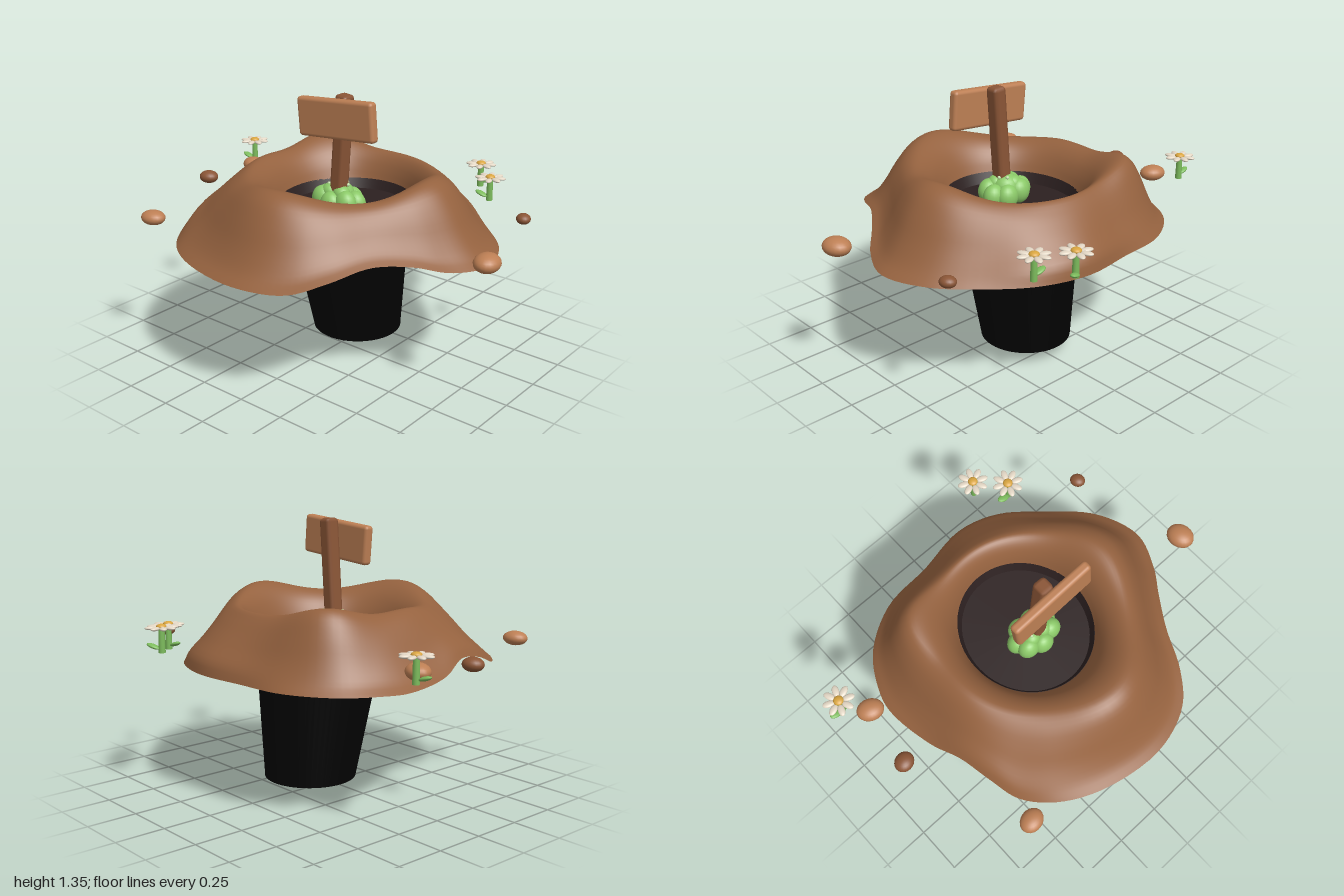
import * as THREE from 'three';
import { RoundedBoxGeometry } from 'three/addons/geometries/RoundedBoxGeometry.js';

const mat = (name, color, side = THREE.FrontSide) => {
  const m = new THREE.MeshStandardMaterial({ color, side });
  m.name = name;
  return m;
};

export function createModel() {
  const soil = mat('soil brown', 0x95623f, THREE.DoubleSide);
  const pitDark = mat('pit dark brown', 0x2c2020, THREE.DoubleSide);
  const black = mat('shaft black', 0x030303, THREE.DoubleSide);
  const lightWood = mat('light tan', 0xbd7f54);
  const darkWood = mat('dark wood', 0x8a5536);
  const leafGreen = mat('bush green', 0x8bc968);
  const stemGreen = mat('stem green', 0x7cbb5c);
  const petalWhite = mat('petal cream', 0xe2d6c4);
  const yellow = mat('flower yellow', 0xd9a540);
  const budPale = mat('bud pale green', 0xc0dca6);

  const model = new THREE.Group();
  model.name = 'burrowMound';
  const add = (name, geo, m, pos = [0, 0, 0], parent = model) => {
    const mesh = new THREE.Mesh(geo, m);
    mesh.name = name;
    mesh.position.set(...pos);
    parent.add(mesh);
    return mesh;
  };

  // Mound: a single skin swept round from the hole, over the crest, to a wavy foot
  const foot = new THREE.CatmullRomCurve3([
    [.825, .64, -.05], [.75, .655, .14], [.64, .70, .28], [.53, .72, .44], [.44, .685, .63],
    [.32, .645, .77], [.085, .64, .847], [-.235, .64, .805], [-.45, .64, .70], [-.58, .645, .56],
    [-.63, .70, .40], [-.665, .72, .24], [-.72, .665, .07], [-.755, .64, -.20], [-.715, .64, -.34],
    [-.61, .64, -.50], [-.395, .64, -.63], [-.13, .64, -.66], [.14, .645, -.69], [.38, .645, -.62],
    [.565, .64, -.475], [.75, .64, -.28],
  ].map((p) => new THREE.Vector3(...p)), true);
  // crest peaks: angle, extra radius, extra height, spread
  const peaks = [[1.48, .08, .065, .48], [-.1, .04, .065, .45], [-2.4, .1, .06, .34], [3.0, .0, .02, .4]];
  // across the wall: radial fraction, height fraction (then the same where the slope is fuller)
  const innerWall = [[0, 0], [.15, .36], [.38, .7], [.7, .94]];
  const outerWall = [
    [0, 1, 0, 1], [.2, .91, .2, .87], [.4, .68, .42, .69],
    [.6, .37, .66, .49], [.8, .13, .93, .24], [1, 0, 1, 0],
  ];
  const bell = (a, centre, w) => {
    const d = Math.atan2(Math.sin(a - centre), Math.cos(a - centre));
    return Math.exp(-((d / w) ** 2));
  };
  const between = (p, q, f, y) => new THREE.Vector3(p.x + (q.x - p.x) * f, y, p.z + (q.z - p.z) * f);
  const around = 120, across = 30, pos = [], idx = [];
  for (let i = 0; i < around; i++) {
    const b = foot.getPoint(i / around);
    const a = Math.atan2(b.z, b.x), c = Math.cos(a), s = Math.sin(a);
    let r = .465, h = .93;
    for (const [pa, dr, dh, w] of peaks) {
      r += dr * bell(a, pa, w);
      h += dh * bell(a, pa, w);
    }
    const full = bell(a, -1.35, .65) + .65 * bell(a, 2.6, .5);
    const hole = new THREE.Vector3(.005 + .325 * c, .79, -.028 + .355 * s);
    const crest = new THREE.Vector3(r * c, h, r * s);
    const profile = new THREE.CatmullRomCurve3([
      ...innerWall.map(([f, k]) => between(hole, crest, f, hole.y + (h - hole.y) * k)),
      ...outerWall.map(([f, k, fb, kb]) =>
        between(crest, b, f + (fb - f) * full, b.y + (h - b.y) * (k + (kb - k) * full))),
    ]);
    for (let j = 0; j <= across; j++) {
      const p = profile.getPoint(j / across);
      pos.push(p.x, p.y, p.z);
      if (j === across) continue;
      const p0 = i * (across + 1) + j, p1 = ((i + 1) % around) * (across + 1) + j;
      idx.push(p0, p1, p0 + 1, p0 + 1, p1, p1 + 1);
    }
  }
  const moundGeo = new THREE.BufferGeometry();
  moundGeo.setAttribute('position', new THREE.Float32BufferAttribute(pos, 3));
  moundGeo.setIndex(idx);
  moundGeo.computeVertexNormals();
  add('mound', moundGeo, soil);

  // Pit: wide floor and a dark collar rising to the soil
  add('pitFloor', new THREE.CylinderGeometry(.465, .465, .006, 64), pitDark, [0, .737, -.03]);
  add('pitCollar', new THREE.CylinderGeometry(1, .935, .056, 64, 1, true).scale(.326, 1, .356),
    pitDark, [.005, .766, -.03]);

  // Slanted, tapering shaft with a shallow pointed end
  const shaftGeo = new THREE.CylinderGeometry(1, 1, 1, 64, 1, true);
  const sp = shaftGeo.attributes.position;
  for (let i = 0; i < sp.count; i++) {
    const t = sp.getY(i) + .5;
    sp.setXYZ(i, sp.getX(i) * (.228 + .062 * t) + .003, .07 + .666 * t,
      sp.getZ(i) * (.23 + .11 * t) - .13 + .07 * t);
  }
  shaftGeo.computeVertexNormals();
  add('shaft', shaftGeo, black);
  add('shaftTip', new THREE.ConeGeometry(.229, .07, 64, 1, true).rotateX(Math.PI), black, [.003, .035, -.13]);

  // Signpost
  const post = add('signPost', new RoundedBoxGeometry(.074, .62, .076, 1, .02), darkWood, [.028, 1.04, .037]);
  post.rotation.z = -.075;
  const sign = add('signBoard', new RoundedBoxGeometry(.458, .194, .052, 2, .018), lightWood, [.05, 1.24, .096]);
  sign.rotation.z = .085;

  // Bush in the pit: a ring of rounded clumps round a taller middle
  const bush = new THREE.Group();
  bush.name = 'bush';
  bush.position.set(.005, .75, .025);
  model.add(bush);
  const ball = new THREE.SphereGeometry(1, 20, 14);
  const blob = (name, m, p, sx, sy, sz, parent) => {
    const b = add(name, ball, m, p, parent);
    b.scale.set(sx, sy, sz);
    return b;
  };
  blob('bushMiddle', leafGreen, [0, .08, -.01], .075, .07, .07, bush);
  for (let i = 0; i < 7; i++) {
    const a = i / 7 * Math.PI * 2 - .25, c = Math.cos(a), s = Math.sin(a);
    blob('bushClump', leafGreen, [.09 * c, .05 + .012 * (i % 2), .065 * s], .058, .064, .05, bush);
    if (i % 2) blob('bushUpperClump', leafGreen, [.045 * c, .1, .04 * s], .045, .042, .042, bush);
    if (i % 3 === 0) blob('bushBud', budPale, [.05 * c, .14, .045 * s], .009, .009, .009, bush);
  }

  // Stones: x, y, z, radii, turn, colour
  for (const [x, y, z, rx, ry, rz, turn, m] of [
    [-.83, .755, -.23, .068, .040, .056, -.4, lightWood],
    [-.875, .75, .075, .052, .034, .046, .3, darkWood],
    [-.62, .755, .69, .063, .036, .052, .2, lightWood],
    [.933, .755, .135, .062, .044, .073, .2, lightWood],
    [.772, .745, -.46, .036, .027, .040, .5, darkWood],
  ]) blob('stone', m, [x, y, z], rx, ry, rz, model).rotation.y = turn;

  // Daisies: x, z, petal height, turn
  for (const [x, z, top, turn] of [[-.92, -.335, .853, 0], [.325, -.778, .855, 3.6], [.457, -.657, .837, 0]]) {
    const f = new THREE.Group();
    f.name = 'daisy';
    f.position.set(x, top, z);
    f.rotation.y = turn;
    model.add(f);
    const len = .122;
    add('stem', new THREE.CylinderGeometry(.015, .017, len, 12), stemGreen, [0, -len / 2, 0], f);
    const leaf = blob('leaf', stemGreen, [-.042, -.092, .01], .036, .01, .02, f);
    leaf.rotation.z = -.3;
    for (let i = 0; i < 8; i++) {
      const a = (i + .5) / 8 * Math.PI * 2 + turn;
      const petal = blob('petal', petalWhite, [.05 * Math.cos(a), 0, .05 * Math.sin(a)], .03, .009, .017, f);
      petal.rotation.y = -a;
    }
    blob('flowerCentre', yellow, [0, .004, 0], .025, .014, .025, f);
  }
  return model;
}
